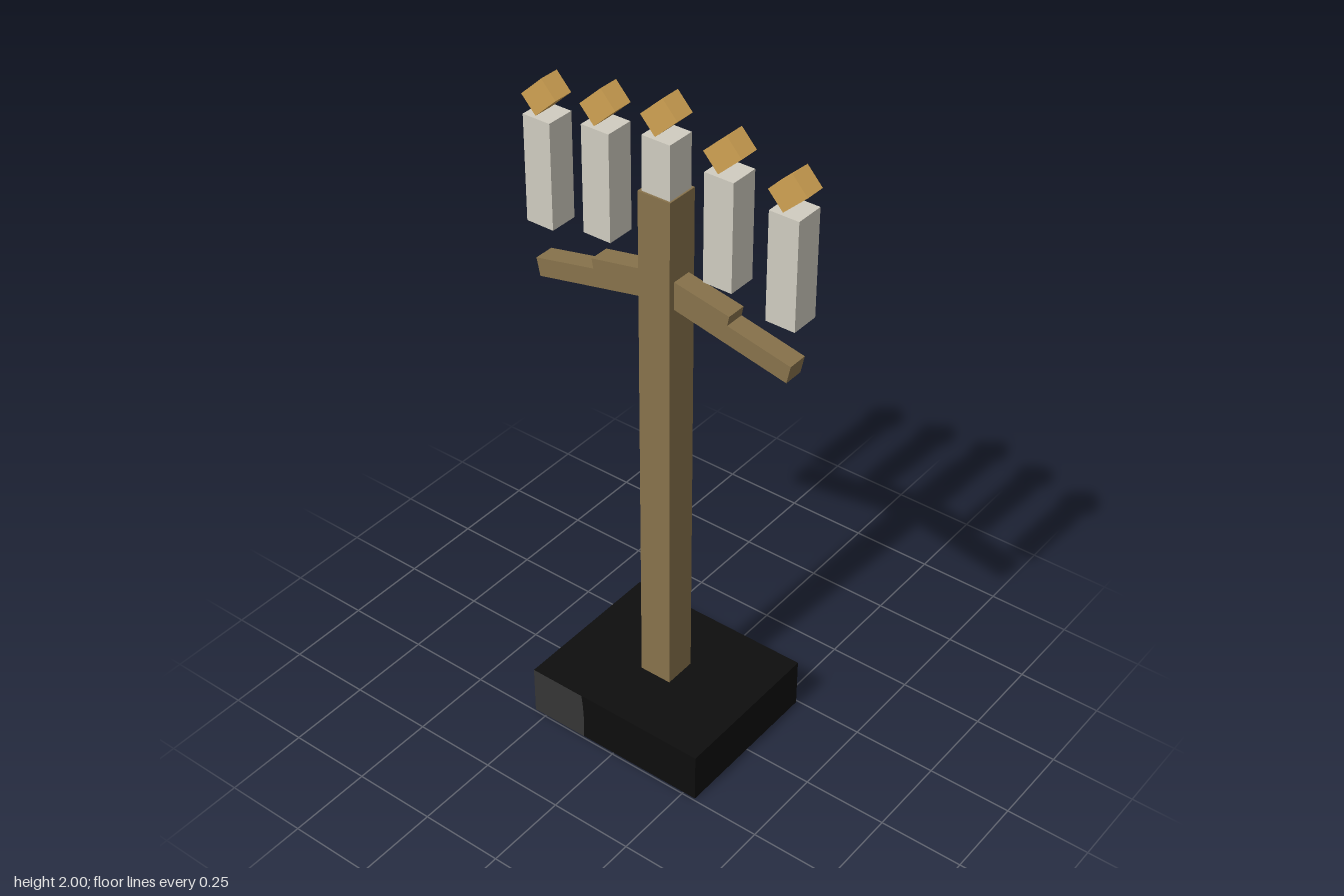
import * as THREE from 'three';

const material = (name, color) => {
  const m = new THREE.MeshStandardMaterial({ color });
  m.name = name;
  return m;
};

export function createModel() {
  const wood = material('brown wood', 0x87724b);
  const wax = material('pale wax', 0xd0ccc0);
  const flameGold = material('flame gold', 0xcfa152);
  const black = material('black', 0x0d0d0d);
  const grey = material('dark grey', 0x353535);

  const model = new THREE.Group();
  model.name = 'candleStand';

  const box = (name, mat, size, pos, tilt = 0, parent = model) => {
    const mesh = new THREE.Mesh(new THREE.BoxGeometry(...size), mat);
    mesh.name = name;
    mesh.position.set(...pos);
    mesh.rotation.z = tilt;
    parent.add(mesh);
    return mesh;
  };

  // Base block and post
  box('base', black, [0.58, 0.155, 0.487], [0, 0.0775, 0]);
  box('post', wood, [0.1, 1.58, 0.1], [-0.002, 0.945, -0.002]);

  // Grey patch on the base front, with a slightly bowed edge
  const patch = new THREE.Shape();
  patch.moveTo(-0.29, 0);
  patch.lineTo(-0.108, 0);
  patch.quadraticCurveTo(-0.104, 0.09, -0.114, 0.155);
  patch.lineTo(-0.29, 0.155);
  const patchMesh = new THREE.Mesh(new THREE.ShapeGeometry(patch), grey);
  patchMesh.name = 'basePatch';
  patchMesh.position.z = 0.2445;
  model.add(patchMesh);

  // Drooping arms: a long beam with a shorter one resting on it.
  // Each beam is placed by its top outer corner.
  const beam = (name, side, x, y, length, thick, degrees) => {
    const a = THREE.MathUtils.degToRad(degrees);
    const cx = x - Math.cos(a) * length / 2 - Math.sin(a) * thick / 2;
    const cy = y + Math.sin(a) * length / 2 - Math.cos(a) * thick / 2;
    box(name, wood, [length, thick, 0.06], [side * cx, cy, 0], -side * a);
  };
  for (const side of [-1, 1]) {
    const label = side > 0 ? 'left' : 'right';
    beam(label + 'Arm', side, 0.407, 1.396, 0.4, 0.054, 12);
    beam(label + 'ArmBrace', side, 0.219, 1.466, 0.2, 0.054, 11);
  }

  // Five candles, lower towards the sides, each with a tilted flame
  for (let i = -2; i <= 2; i++) {
    const candle = new THREE.Group();
    candle.name = 'candle' + (i + 3);
    candle.position.set(i * 0.1895, 1.89 - Math.abs(i) * 0.035, 0);
    box('wax', wax, [0.087, 0.31, 0.086], [0, -0.155, -0.001], 0, candle);
    box('flame', flameGold, [0.093, 0.066, 0.06], [0, 0.055, 0],
      THREE.MathUtils.degToRad(43), candle);
    model.add(candle);
  }
  return model;
}
